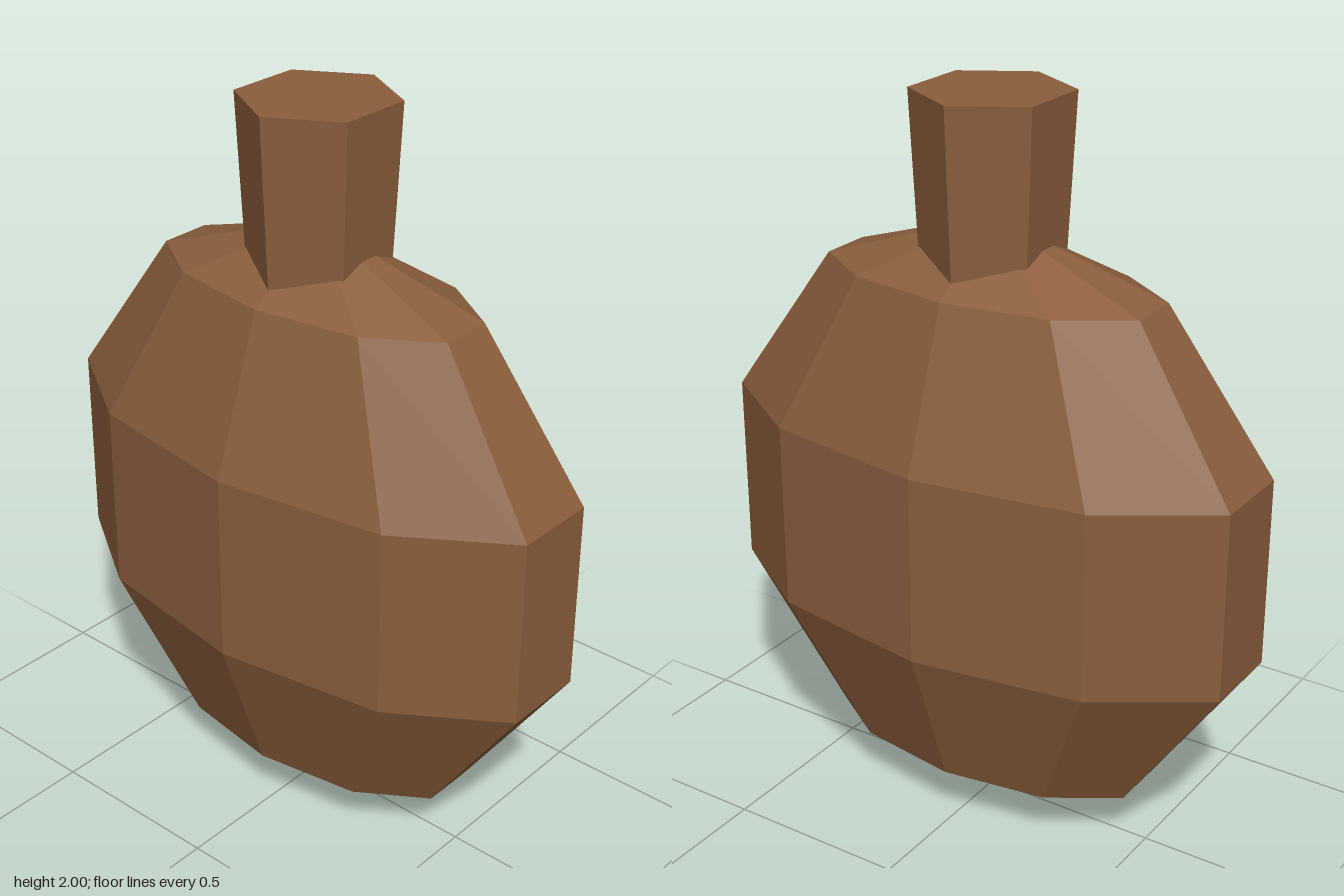
import * as THREE from 'three';

export function createModel() {
  const model = new THREE.Group();
  model.name = 'flask';
  const brown = new THREE.MeshStandardMaterial({ color: 0x8b5e3c });
  brown.name = 'brown leather';

  function addPart(name, geometry, y) {
    // split vertices so every facet gets its own normal
    const faceted = geometry.toNonIndexed();
    faceted.computeVertexNormals();
    const mesh = new THREE.Mesh(faceted, brown);
    mesh.name = name;
    mesh.position.y = y;
    model.add(mesh);
  }

  // Flattened ten-sided body, turned so an edge faces the front
  const radius = 0.84;
  const body = new THREE.SphereGeometry(radius, 10, 5, Math.PI / 10);
  body.scale(0.945 / 0.951, 1, 0.475);
  addPart('body', body, radius);

  // Six-sided neck, flaring upward and sunk into the body
  const neckHeight = 0.6;
  addPart('neck', new THREE.CylinderGeometry(0.208, 0.178, neckHeight, 6), 2 - neckHeight / 2);

  return model;
}
